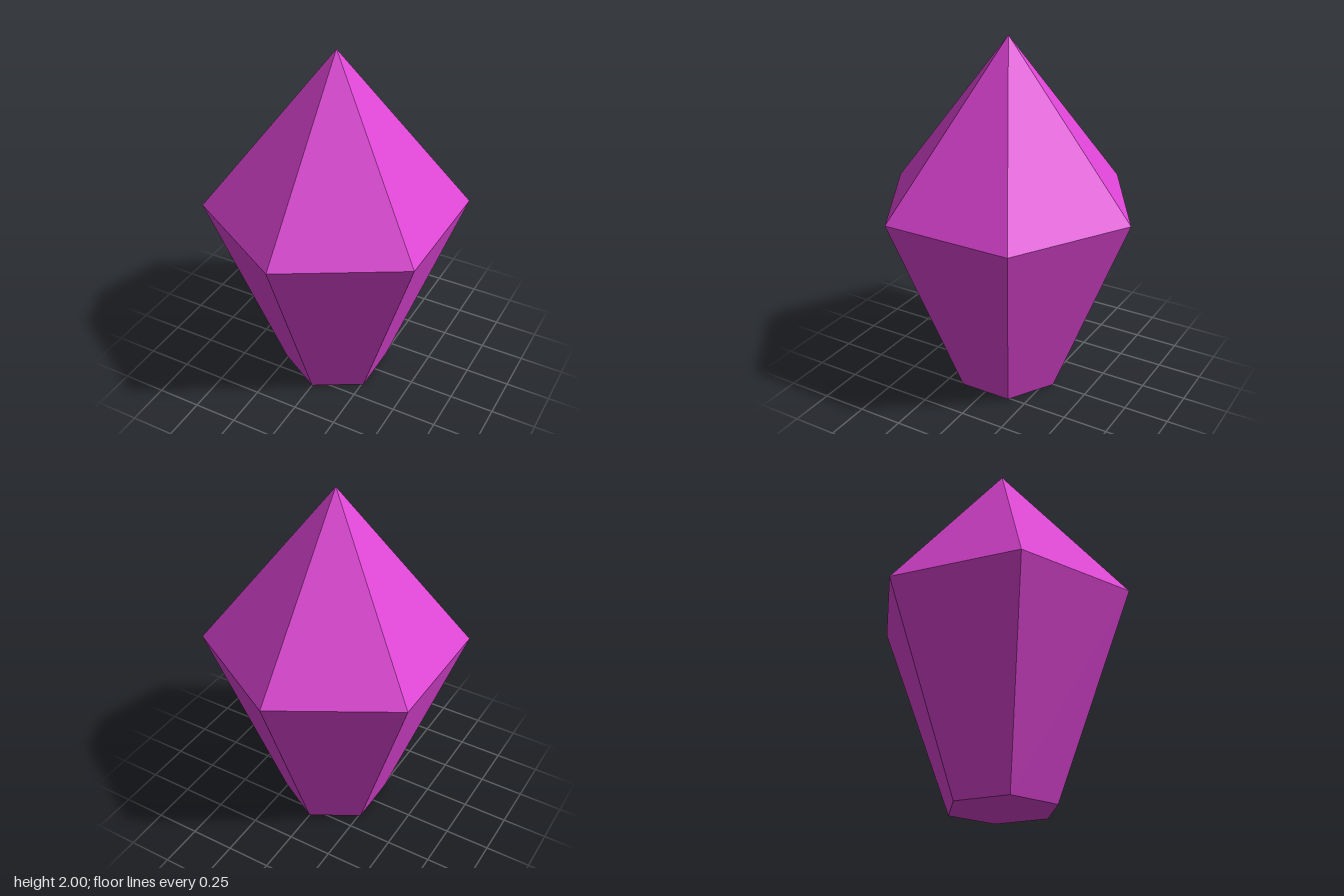
import * as THREE from 'three';

export function createModel() {
  const group = new THREE.Group();
  group.name = 'crystal';
  const material = new THREE.MeshStandardMaterial({ color: 0xdd44d4, flatShading: true });
  const sides = 6, girdle = 0.725, base = 0.3, girdleY = 1.1, height = 2;

  const add = (name, geometry, y) => {
    const mesh = new THREE.Mesh(geometry, material);
    mesh.name = name;
    mesh.position.y = y;
    group.add(mesh);
  };

  // Pointed six-sided tip
  const tipHeight = height - girdleY;
  add('crystalTip', new THREE.ConeGeometry(girdle, tipHeight, sides, 1, true), girdleY + tipHeight / 2);

  // Tapered six-sided body
  add('crystalBody', new THREE.CylinderGeometry(girdle, base, girdleY, sides, 1, true), girdleY / 2);

  // Flat underside, turned so its corners meet the body
  const underside = new THREE.CircleGeometry(base, sides, Math.PI / 2).rotateX(Math.PI / 2);
  add('crystalUnderside', underside, 0);

  return group;
}
